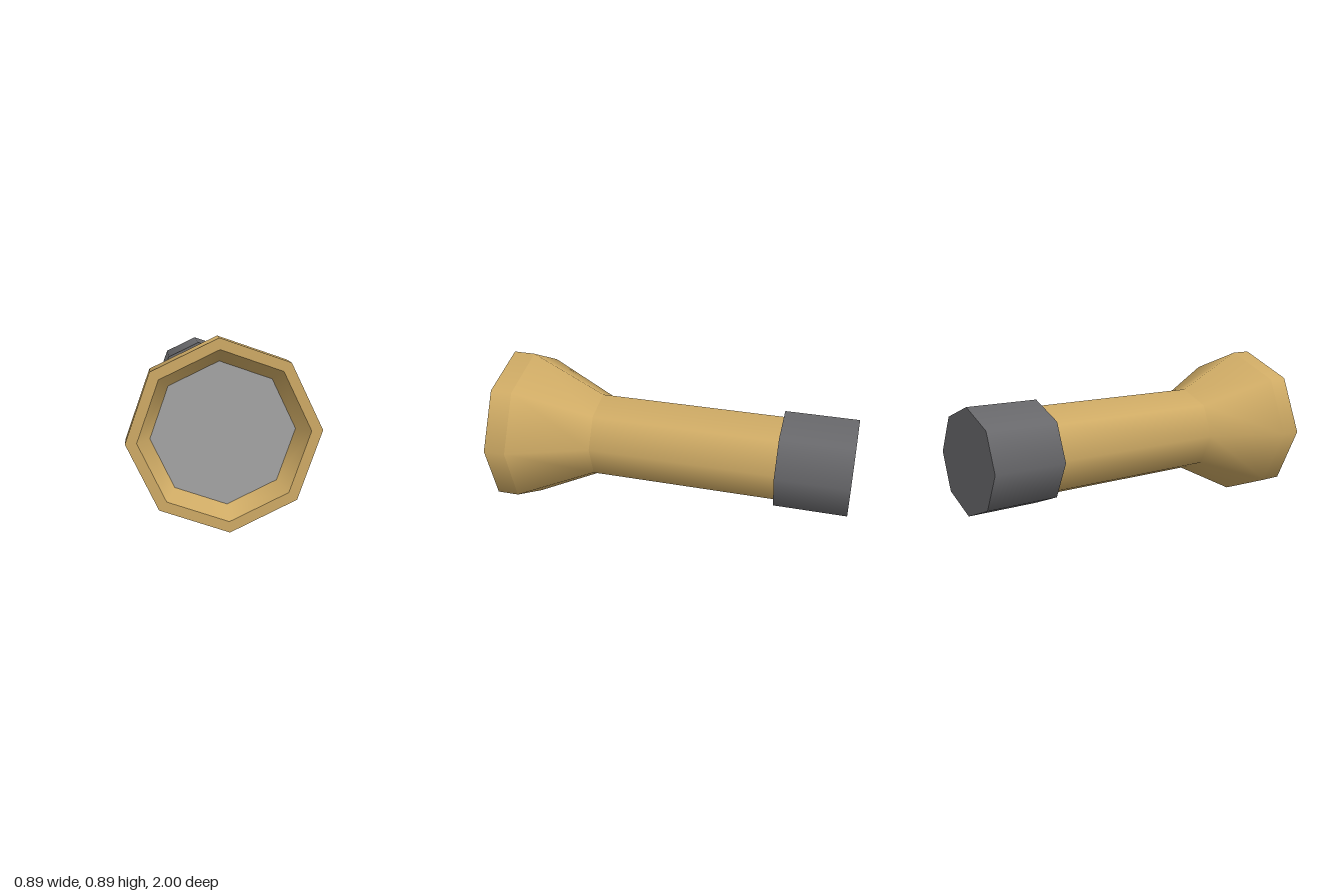
import * as THREE from 'three';

export function createModel() {
  const brass = new THREE.MeshStandardMaterial({ color: 0xcfab65, side: THREE.DoubleSide });
  brass.name = 'brass';
  const darkGrey = new THREE.MeshStandardMaterial({ color: 0x69696c });
  darkGrey.name = 'darkGrey';
  const lensGrey = new THREE.MeshStandardMaterial({ color: 0xa4a4a4 });
  lensGrey.name = 'lensGrey';

  const SIDES = 8;
  const torch = new THREE.Group();
  torch.name = 'flashlight';

  const add = (name, geometry, material, z) => {
    const mesh = new THREE.Mesh(geometry, material);
    mesh.name = name;
    mesh.position.z = z;
    torch.add(mesh);
  };

  // Eight-sided tube section along z, from the back ring to the front ring
  const section = (name, material, zBack, rBack, zFront, rFront, open = true) => {
    const geometry = new THREE.CylinderGeometry(rFront, rBack, zFront - zBack, SIDES, 1, open);
    geometry.rotateX(Math.PI / 2);
    add(name, geometry, material, (zBack + zFront) / 2);
  };

  // Tail cap and handle
  section('tailCap', darkGrey, -0.996, 0.281, -0.597, 0.281, false);
  section('handle', brass, -0.597, 0.246, 0.453, 0.246);

  // Flared head with its straight collar
  section('headCone', brass, 0.453, 0.246, 0.872, 0.446);
  section('headCollar', brass, 0.872, 0.446, 0.994, 0.446);

  // Front lip, sloping reflector and recessed lens
  add('lip', new THREE.RingGeometry(0.394, 0.446, SIDES, 1), brass, 0.994);
  section('reflector', brass, 0.914, 0.335, 0.994, 0.394);
  add('lens', new THREE.CircleGeometry(0.335, SIDES), lensGrey, 0.914);

  // The torch is rolled a little and leans slightly nose-up
  torch.rotation.set(-0.0145, -0.003, THREE.MathUtils.degToRad(3.2));
  torch.position.y = 0.4345;

  const model = new THREE.Group();
  model.name = 'model';
  model.add(torch);
  return model;
}
